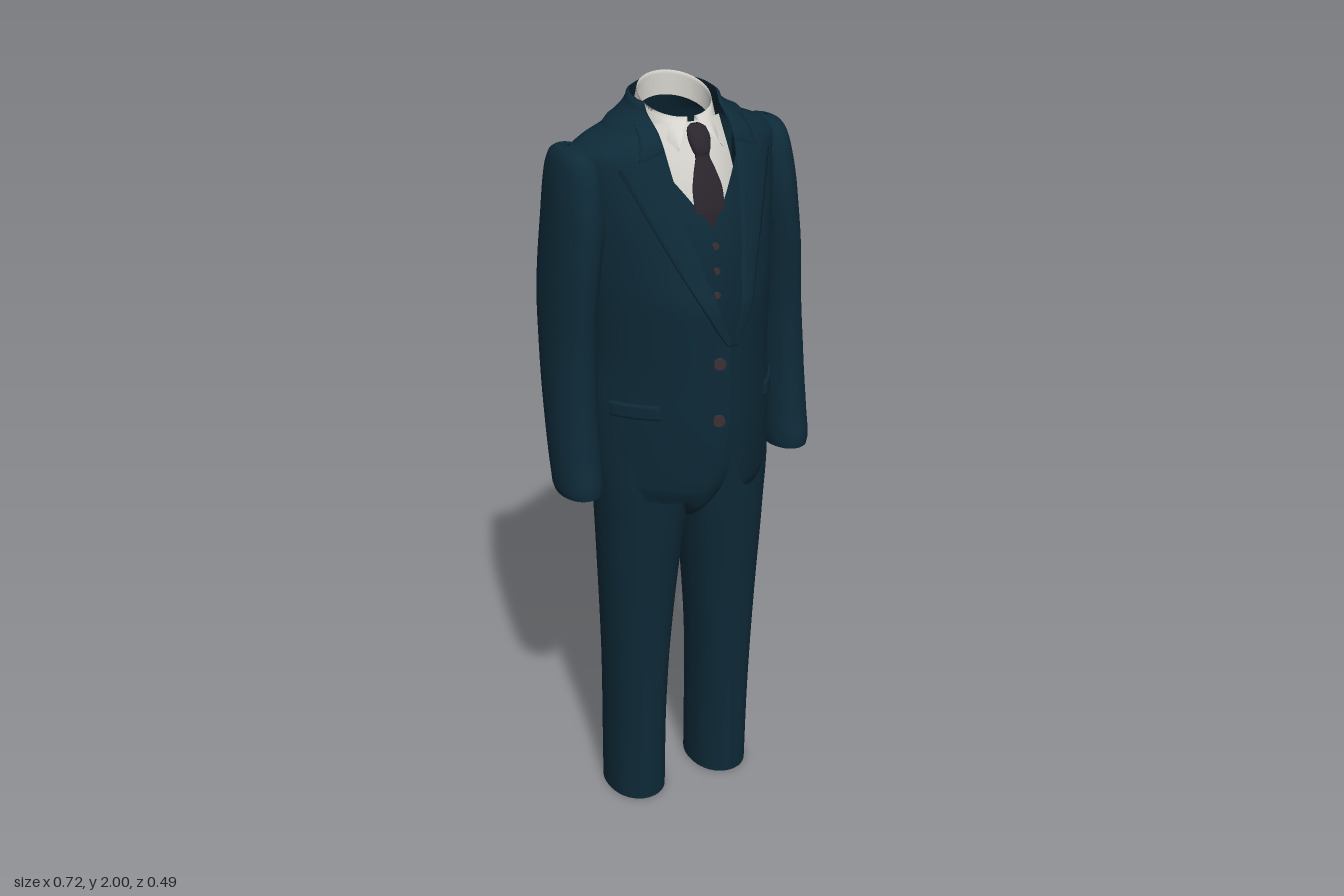
import * as THREE from 'three';
import { mergeVertices } from 'three/addons/utils/BufferGeometryUtils.js';

const mat = (name, color) => {
  const m = new THREE.MeshStandardMaterial({ color, side: THREE.DoubleSide });
  m.name = name;
  return m;
};

const lerp = THREE.MathUtils.lerp, smooth = THREE.MathUtils.smoothstep;

// Smooth, overshoot-free interpolation of column c in rows sorted by row[0]
function at(rows, y, c) {
  const last = rows.length - 1;
  if (y <= rows[0][0]) return rows[0][c];
  if (y >= rows[last][0]) return rows[last][c];
  let i = 0;
  while (rows[i + 1][0] < y) i++;
  const d = k => (rows[k + 1][c] - rows[k][c]) / (rows[k + 1][0] - rows[k][0]);
  const slope = k => {
    if (k === 0 || k === last) return d(k === 0 ? 0 : last - 1);
    const a = d(k - 1), b = d(k);
    return a * b <= 0 ? 0 : 2 * a * b / (a + b);
  };
  const h = rows[i + 1][0] - rows[i][0], t = (y - rows[i][0]) / h;
  const t2 = t * t, t3 = t2 * t;
  return (2 * t3 - 3 * t2 + 1) * rows[i][c] + (t3 - 2 * t2 + t) * h * slope(i)
    + (3 * t2 - 2 * t3) * rows[i + 1][c] + (t3 - t2) * h * slope(i + 1);
}

// Surface from fn(u, v) -> [x, y, z], u and v in 0..1
function grid(nu, nv, fn) {
  const pos = [], idx = [];
  for (let j = 0; j <= nv; j++) for (let i = 0; i <= nu; i++) pos.push(...fn(i / nu, j / nv));
  for (let j = 0; j < nv; j++) for (let i = 0; i < nu; i++) {
    const a = j * (nu + 1) + i, b = a + nu + 1;
    idx.push(a, b, a + 1, b, b + 1, a + 1);
  }
  let g = new THREE.BufferGeometry();
  g.setAttribute('position', new THREE.Float32BufferAttribute(pos, 3));
  g.setIndex(idx);
  g = mergeVertices(g, 1e-5);
  g.computeVertexNormals();
  return g;
}

// Height along a table, with even steps between its rows
function rowY(rows, v) {
  const t = v * (rows.length - 1), i = Math.min(Math.floor(t), rows.length - 2);
  return lerp(rows[i][0], rows[i + 1][0], t - i);
}
const spow = (v, e) => Math.sign(v) * Math.pow(Math.abs(v), e);

// Closed tube from rows of [y, xMin, xMax, zFront, zBack]
const tube = (rows, n = 2) => grid(40, (rows.length - 1) * 4, (u, v) => {
  const y = rowY(rows, v), p = u * Math.PI * 2, [x0, x1, zf, zb] = [1, 2, 3, 4].map(c => at(rows, y, c));
  return [(x0 + x1) / 2 + (x1 - x0) / 2 * spow(Math.sin(p), 2 / n), y,
    (zf + zb) / 2 + (zf - zb) / 2 * spow(Math.cos(p), 2 / n)];
});

// Jacket body: y, half width, front z, back z, middle z, front roundness
const BODY = [
  [0.98, 0.235, 0.195, -0.235, -0.02, 1.6], [1.03, 0.24, 0.222, -0.233, -0.02, 1.55],
  [1.2, 0.243, 0.24, -0.208, -0.02, 1.5], [1.35, 0.235, 0.242, -0.192, -0.02, 1.5],
  [1.5, 0.245, 0.241, -0.196, -0.03, 1.5], [1.6, 0.255, 0.21, -0.2, -0.04, 1.55],
  [1.7, 0.262, 0.17, -0.2, -0.05, 1.7], [1.8, 0.268, 0.125, -0.195, -0.06, 1.9],
  [1.85, 0.268, 0.102, -0.18, -0.06, 2], [1.88, 0.235, 0.09, -0.17, -0.055, 2],
  [1.9, 0.19, 0.08, -0.163, -0.05, 2], [1.93, 0.135, 0.065, -0.152, -0.045, 2],
  [1.96, 0.11, 0.052, -0.142, -0.045, 2], [1.985, 0.104, 0.045, -0.135, -0.045, 2]];
// Half width of the front opening
const OPEN = [[0.98, 0.12], [1.0, 0.085], [1.03, 0.056], [1.08, 0.032], [1.15, 0.014], [1.24, 0.002],
  [1.43, 0.002], [1.5, 0.023], [1.6, 0.048], [1.7, 0.068], [1.8, 0.084], [1.9, 0.094], [1.985, 0.096]];

function jacket(y, p, off = 0) {
  const [a, zf, zb, zc, nf] = [1, 2, 3, 4, 5].map(c => at(BODY, y, c));
  const s = Math.sin(p), c = Math.cos(p), n = c > 0 ? nf : 2.1;
  const x = a * spow(s, 2 / n), dz = (c > 0 ? zf - zc : zc - zb) * spow(c, 2 / n);
  const k = off / (Math.hypot(x, dz) || 1);
  const dy = 0.04 * (1 - c) / 2 * (1 - smooth(y, 0.98, 1.2)) - 0.03 * (1 + c) / 2 * smooth(y, 1.9, 1.985);
  return [x * (1 + k), y + dy + (y > 1.87 ? off * 0.7 : 0), zc + dz * (1 + k)];
}
// Angle round the jacket at which its front reaches x
const angleAt = (y, x) => Math.asin(Math.pow(Math.min(0.97, x / at(BODY, y, 1)), at(BODY, y, 5) / 2));
const opening = y => angleAt(y, at(OPEN, y, 1));

// Raised plate on the jacket, with its rim turned in to the cloth
const plate = (nu, nv, off, fn) => grid(nu, nv, (u, v) => {
  const rim = u === 0 || u === 1 || v === 0 || v === 1;
  const [y, p] = fn(u, v);
  return jacket(y, p, rim ? 0.001 : off);
});
const inset = u => THREE.MathUtils.clamp((u - 0.06) / 0.88, 0, 1);

export function createModel() {
  const root = new THREE.Group();
  const navy = mat('navy cloth', 0x0e2a38), white = mat('white shirt', 0xd6d4ce);
  const dark = mat('dark silk', 0x2b262d), horn = mat('button', 0x3b3134);
  const add = (name, geo, m) => {
    const mesh = new THREE.Mesh(geo, m);
    mesh.name = name;
    root.add(mesh);
    return mesh;
  };
  const button = (name, r, [x, y, z], turn = 0) => {
    const b = add(name, new THREE.CylinderGeometry(r, r, 0.008, 16).rotateX(Math.PI / 2).rotateY(turn), horn);
    b.position.set(x, y, z);
  };

  // Jacket body, collar and back vent
  add('jacketBody', grid(96, (BODY.length - 1) * 5, (u, v) => {
    const y = rowY(BODY, v), p0 = opening(y);
    return jacket(y, lerp(p0, Math.PI * 2 - p0, u));
  }), navy);
  add('jacketCollar', plate(60, 8, 0.007, (u, v) => {
    const y = lerp(1.905, 1.983, v), p0 = opening(y);
    return [y, lerp(p0, Math.PI * 2 - p0, inset(u))];
  }), navy);
  add('backVent', plate(8, 12, 0.004, (u, v) => [lerp(0.981, 1.2, v), Math.PI + lerp(0, 0.14, inset(u))]), navy);

  const sleeve = [
    [1.01, 0.247, 0.354, 0.081, -0.076], [1.03, 0.243, 0.359, 0.082, -0.08], [1.1, 0.24, 0.36, 0.07, -0.095],
    [1.25, 0.235, 0.357, 0.055, -0.13], [1.4, 0.23, 0.35, 0.05, -0.16], [1.5, 0.225, 0.345, 0.055, -0.175],
    [1.6, 0.215, 0.336, 0.06, -0.18], [1.7, 0.2, 0.326, 0.058, -0.178], [1.8, 0.2, 0.314, 0.04, -0.17],
    [1.845, 0.21, 0.304, 0.02, -0.152], [1.865, 0.23, 0.292, -0.01, -0.12], [1.873, 0.262, 0.268, -0.05, -0.07]];
  const leg = [
    [0.005, 0.05, 0.21, 0.052, -0.158], [0.2, 0.05, 0.21, 0.06, -0.155], [0.4, 0.045, 0.213, 0.07, -0.147],
    [0.6, 0.031, 0.22, 0.082, -0.143], [0.8, 0.012, 0.228, 0.1, -0.146], [0.9, 0.002, 0.231, 0.11, -0.152],
    [1.0, 0, 0.234, 0.12, -0.16], [1.1, 0, 0.23, 0.128, -0.165]];

  for (const s of [1, -1]) {
    const side = s > 0 ? 'left' : 'right';
    const flip = g => s > 0 ? g : g.scale(-1, 1, 1);
    const mirrorRows = rows => rows.map(([y, a, b, f, k]) => s > 0 ? [y, a, b, f, k] : [y, -b, -a, f, k]);
    add(side + 'Sleeve', tube(mirrorRows(sleeve), 2.1), navy);
    add(side + 'TrouserLeg', tube(mirrorRows(leg), 2.1), navy);

    // Peaked lapel and the collar leaf above it
    add(side + 'Lapel', flip(plate(12, 30, 0.009, (u, v) => {
      const t = inset(v), w = inset(u), outer = 0.012 + 0.185 * Math.pow(t, 0.85);
      const y = lerp(1.43, lerp(1.87, 1.835, w), t);
      return [y, angleAt(y, lerp(at(OPEN, y, 1), outer, w))];
    })), navy);
    add(side + 'CollarLeaf', flip(plate(10, 10, 0.007, (u, v) => {
      const t = inset(v), w = inset(u), y = lerp(lerp(1.868, 1.845, w), 1.925, t);
      return [y, angleAt(y, lerp(at(OPEN, y, 1), lerp(0.155, 0.13, t), w))];
    })), navy);
    // Pocket flap
    add(side + 'PocketFlap', flip(plate(12, 8, 0.007, (u, v) => {
      const w = inset(u), y = lerp(1.225, 1.265, inset(v)) - 0.012 * w;
      return [y, angleAt(y, lerp(0.145, 0.225, w))];
    })), navy);
    // Cuff buttons
    for (let i = 0; i < 4; i++) {
      const y = 1.07 + i * 0.026;
      button(side + 'CuffButton', 0.008, [s * 0.333, y, at(sleeve, y, 4) + 0.022], s * 2.5);
    }
  }

  // Seat of the trousers, joining the legs
  add('trouserSeat', tube([[0.87, -0.015, 0.015, 0.04, -0.08], [0.92, -0.07, 0.07, 0.095, -0.135],
    [1.0, -0.17, 0.17, 0.12, -0.16], [1.08, -0.23, 0.23, 0.128, -0.166], [1.2, -0.225, 0.225, 0.135, -0.168],
    [1.3, -0.205, 0.205, 0.135, -0.16]]), navy);

  // Waistcoat, open in a V at the top
  const vest = [[1.18, 0.145], [1.35, 0.16], [1.5, 0.167], [1.6, 0.163], [1.69, 0.149], [1.75, 0.131], [1.83, 0.105]];
  for (const s of [1, -1]) {
    add(s > 0 ? 'leftWaistcoat' : 'rightWaistcoat', grid(12, 40, (u, v) => {
      const y = lerp(1.18, 1.83, v), x = lerp(y < 1.69 ? 0 : (y - 1.69) * 0.7, 0.17, u);
      return [s * x, y - 0.06 * (1 - v) ** 8 * (1 - u), at(vest, y, 1) - 2.8 * x * x];
    }), navy);
  }
  for (const y of [1.47, 1.53, 1.59, 1.65]) button('waistcoatButton', 0.008, [0, y, at(vest, y, 1) + 0.003]);

  // Jacket buttons
  for (const y of [1.235, 1.385]) {
    const [x, , z] = jacket(y, angleAt(y, 0.03));
    button('jacketButton', 0.015, [-x, y, z + 0.004], -0.3);
  }

  // Shirt front and folded collar
  const shirt = [[1.62, 0.138], [1.75, 0.112], [1.82, 0.09], [1.9, 0.055], [1.93, 0.042]];
  add('shirtFront', grid(20, 16, (u, v) => {
    const y = lerp(1.62, 1.92, v), x = lerp(-1, 1, u) * lerp(0.13, 0.085, v);
    return [x, y, at(shirt, y, 1) - 3.5 * x * x];
  }), white);
  add('shirtCollar', grid(72, 12, (u, v) => {
    const p = lerp(0.1, Math.PI * 2 - 0.1, u), q = Math.min(p, Math.PI * 2 - p);
    const sx = Math.sin(p), c = Math.cos(p), top = 1.965 - 0.035 * c;
    const ring = [0.09 * sx, top, -0.042 + 0.081 * c];
    if (v <= 0.5) return [ring[0], lerp(top - 0.06, top, v * 2), ring[2]];
    const k = smooth(q, 0.1, 1.3), t = (v - 0.5) * 2, side = Math.sign(sx);
    const low = [lerp(side * 0.06, 0.1 * sx, k), lerp(1.862, top - 0.045, k), lerp(0.088, -0.042 + 0.09 * c, k)];
    return ring.map((r, i) => lerp(r, low[i], t));
  }), white);

  // Necktie: y, half width, middle z, half thickness
  const tie = [[1.67, 0.03, 0.134, 0.004], [1.72, 0.04, 0.133, 0.006], [1.77, 0.04, 0.122, 0.008],
    [1.82, 0.028, 0.105, 0.009], [1.852, 0.018, 0.094, 0.009], [1.862, 0.022, 0.09, 0.014],
    [1.89, 0.028, 0.078, 0.018], [1.91, 0.024, 0.066, 0.015], [1.918, 0.012, 0.058, 0.006]];
  add('necktie', tube(tie.map(([y, w, z, d]) => [y, -w, w, z + d, z - d])), dark);

  return root;
}
